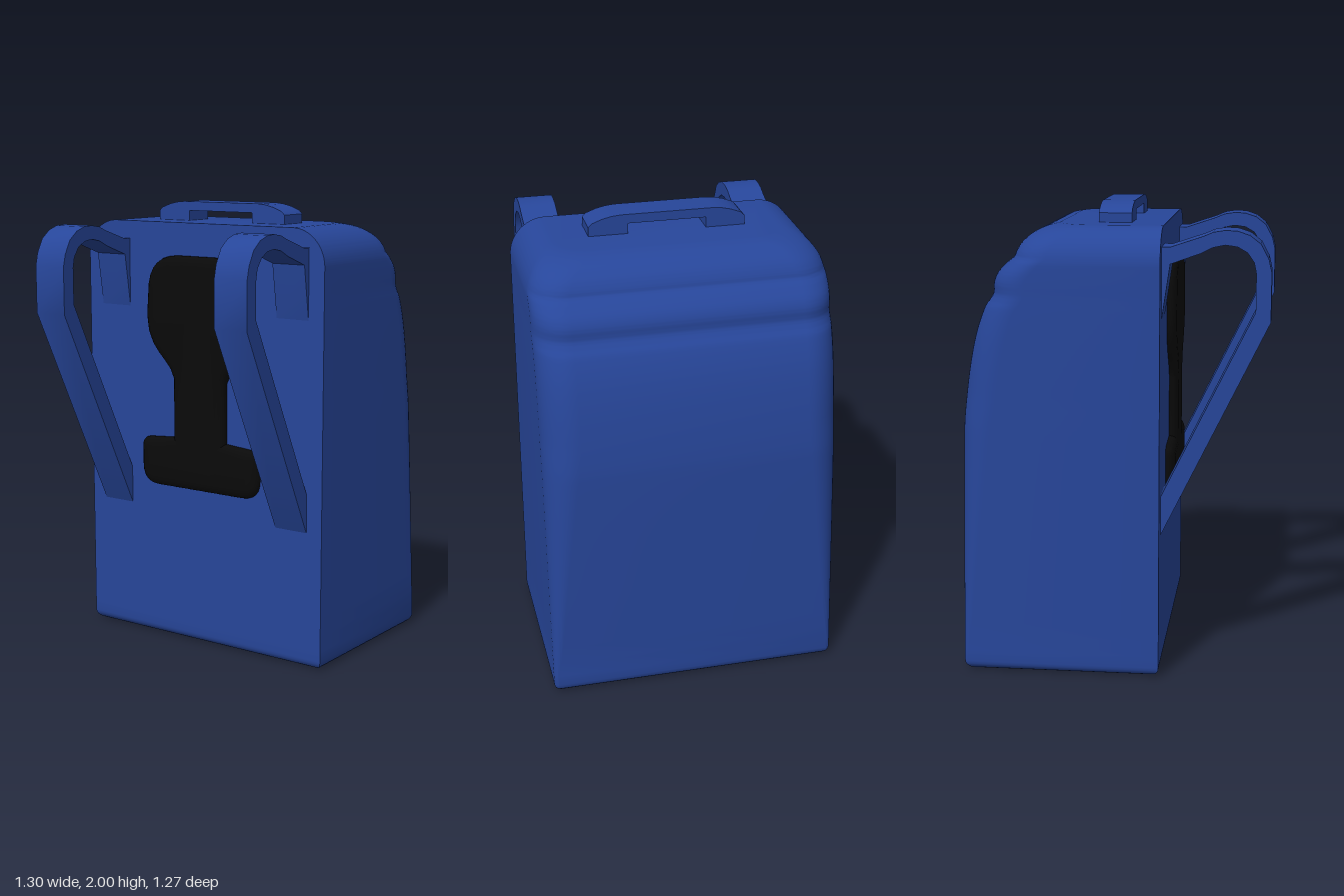
import * as THREE from 'three';
import { toCreasedNormals } from 'three/addons/utils/BufferGeometryUtils.js';

const blue = new THREE.MeshStandardMaterial({ color: 0x27469a });
const black = new THREE.MeshStandardMaterial({ color: 0x0a0a0a });
const vec = ([x, y]) => new THREE.Vector2(x, y);

const BACK = -0.2, TOP = 1.915, HALF = 0.637;
const FOOT_R = 0.04, SHOULDER_R = 0.16;

function addMesh(parent, name, geometry, material) {
  const mesh = new THREE.Mesh(toCreasedNormals(geometry, 0.6), material);
  mesh.name = name;
  parent.add(mesh);
  return mesh;
}

// Outline drawn in (z, y), extruded towards -x
function extrudeBackwards(shape, options) {
  return new THREE.ExtrudeGeometry(shape, options).rotateY(-Math.PI / 2);
}

// Body: horizontal sections with a flat back and rounded front corners
function bodyGeometry() {
  const front = new THREE.SplineCurve([
    [0.645, 0.04], [0.647, 0.5], [0.647, 0.97], [0.642, 1.13], [0.62, 1.31],
    [0.59, 1.457], [0.553, 1.565], [0.527, 1.605], [0.511, 1.635], [0.508, 1.68],
    [0.49, 1.72], [0.452, 1.76], [0.422, 1.785], [0.412, 1.81], [0.39, 1.845],
    [0.35, 1.88], [0.3, 1.904], [0.25, TOP],
  ].map(vec)).getPoints(102);

  const rows = [];
  for (let i = 0; i < 5; i++) {
    const a = (i / 5) * Math.PI / 2;
    rows.push({ y: FOOT_R * (1 - Math.cos(a)), x: 0.645, inset: FOOT_R * (1 - Math.sin(a)) });
  }
  front.forEach((p) => rows.push({ y: Math.min(p.y, TOP), x: p.x, inset: 0 }));

  const positions = [], index = [], STEPS = 10;
  rows.forEach(({ y, x, inset }) => {
    const rise = Math.max(0, y - (TOP - SHOULDER_R));
    const drop = SHOULDER_R - Math.sqrt(Math.max(0, SHOULDER_R ** 2 - rise ** 2));
    const w = HALF - inset - drop;
    const f = x - inset;
    const r = 0.015 + 0.135 * Math.min(1, y / 1.2);
    positions.push(BACK + inset, y, -w);
    for (const side of [-1, 1]) {
      for (let k = 0; k <= STEPS; k++) {
        const t = (side < 0 ? STEPS - k : k) / STEPS * Math.PI / 2;
        positions.push(f - r + r * Math.cos(t), y, side * (w - r + r * Math.sin(t)));
      }
    }
    positions.push(BACK + inset, y, w);
  });

  const n = 2 * (STEPS + 1) + 2;
  for (let i = 0; i < rows.length - 1; i++) {
    for (let j = 0; j < n; j++) {
      const a = i * n + j, b = i * n + (j + 1) % n;
      index.push(a, b + n, b, a, a + n, b + n);
    }
  }
  const last = (rows.length - 1) * n;
  for (let k = 1; k < n - 1; k++) {
    index.push(0, k, k + 1);
    index.push(last, last + k + 1, last + k);
  }
  const geometry = new THREE.BufferGeometry();
  geometry.setAttribute('position', new THREE.Float32BufferAttribute(positions, 3));
  geometry.setIndex(index);
  return geometry;
}

// Shoulder strap: closed band outline in (x, y), open towards the back panel
function strapGeometry() {
  const outer = [
    [-0.19, 0.59], [-0.65, 1.53], [-0.65, 1.735], [-0.637, 1.79], [-0.605, 1.85],
    [-0.56, 1.885], [-0.51, 1.902], [-0.46, 1.905], [-0.41, 1.897], [-0.37, 1.88],
    [-0.235, 1.835], [-0.19, 1.835],
  ];
  const inner = [
    [-0.19, 1.49], [-0.2, 1.53], [-0.235, 1.765], [-0.36, 1.81], [-0.41, 1.835],
    [-0.46, 1.845], [-0.51, 1.838], [-0.55, 1.815], [-0.578, 1.775], [-0.587, 1.73],
    [-0.587, 1.57], [-0.19, 0.76],
  ];
  const shape = new THREE.Shape([...outer, ...inner].map(vec));
  return new THREE.ExtrudeGeometry(shape, { depth: 0.16, bevelEnabled: false });
}

// Carry handle: arched bar on two feet
function handleGeometry() {
  const half = [[0.17, 1.9], [0.34, 1.9], [0.34, 1.955], [0.325, 1.97], [0.28, 1.987], [0.24, 1.996], [0.2, 2]];
  const mirrored = half.map(([z, y]) => [-z, y]).reverse();
  const shape = new THREE.Shape([[0.17, 1.96], ...half, ...mirrored, [-0.17, 1.96]].map(vec));
  return extrudeBackwards(shape, { depth: 0.14, bevelEnabled: false }).translate(0.085, 0, 0);
}

// Back padding: broad upper pad, narrow spine, rounded lower pad
function paddingGeometry() {
  const s = new THREE.Shape();
  s.moveTo(0, 0.72);
  s.lineTo(0.23, 0.72);
  s.quadraticCurveTo(0.32, 0.72, 0.32, 0.81);
  s.lineTo(0.32, 0.9);
  s.quadraticCurveTo(0.32, 0.94, 0.27, 0.94);
  s.lineTo(0.14, 0.95);
  s.lineTo(0.14, 1.22);
  s.bezierCurveTo(0.16, 1.31, 0.29, 1.33, 0.29, 1.5);
  s.lineTo(0.28, 1.64);
  s.quadraticCurveTo(0.26, 1.77, 0.12, 1.77);
  s.lineTo(0, 1.77);
  const half = s.getPoints(6);
  const mirrored = half.slice(1, -1).reverse().map((p) => new THREE.Vector2(-p.x, p.y));
  return extrudeBackwards(new THREE.Shape([...half, ...mirrored]), {
    depth: 0.02, bevelThickness: 0.03, bevelSize: 0.05, bevelOffset: -0.05, bevelSegments: 4,
  }).translate(-0.19, 0, 0);
}

export function createModel() {
  const group = new THREE.Group();
  group.name = 'backpack';
  addMesh(group, 'body', bodyGeometry(), blue);
  addMesh(group, 'carryHandle', handleGeometry(), blue);
  addMesh(group, 'backPadding', paddingGeometry(), black);
  for (const side of [-1, 1]) {
    const strap = addMesh(group, side < 0 ? 'strapFar' : 'strapNear', strapGeometry(), blue);
    strap.position.z = side * 0.48 - 0.08;
  }
  return group;
}
